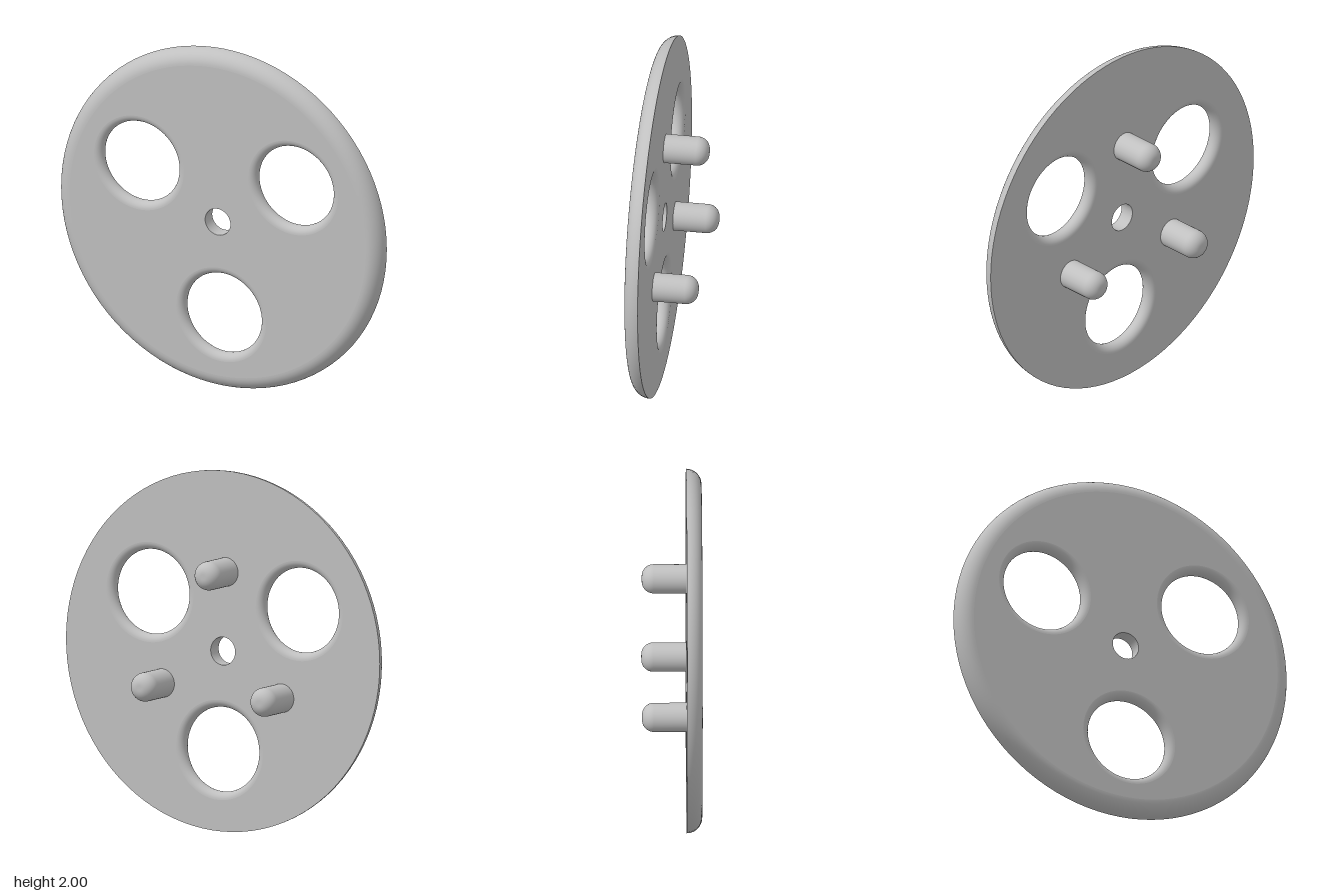
import * as THREE from 'three';

const BACK = 0.08, FRONT = 0.165, THICK = FRONT - BACK;
const HOLE = 0.235, HOLE_DIST = 0.55, PEG_DIST = 0.44, BORE = 0.078;
const START = THREE.MathUtils.degToRad(32.2);

export function createModel() {
  const group = new THREE.Group();
  const grey = new THREE.MeshStandardMaterial({ color: 0xc0c0c0 });
  grey.name = 'light grey';

  const add = (name, geometry, x = 0, y = 0) => {
    const mesh = new THREE.Mesh(geometry, grey);
    mesh.name = name;
    mesh.position.set(x, y + 1, 0);
    group.add(mesh);
  };
  // Points along a circular arc of a profile
  const arc = (cx, cy, r, a0, a1, n = 12) => Array.from({ length: n + 1 }, (_, i) => {
    const a = a0 + (a1 - a0) * i / n;
    return new THREE.Vector2(cx + r * Math.cos(a), cy + r * Math.sin(a));
  });
  // Profile (radius, z) turned around the z axis
  const turn = (points, segments) => new THREE.LatheGeometry(points, segments).rotateX(Math.PI / 2);
  const polar = (r, a) => [r * Math.cos(a), r * Math.sin(a)];
  const angles = [0, 1, 2].map(i => START + i * Math.PI * 2 / 3);

  // Flat disc face with three large holes and the centre bore
  const round = THICK / 2;
  const face = radius => {
    const shape = new THREE.Shape().absarc(0, 0, radius, 0, Math.PI * 2);
    const cut = (x, y, r) => shape.holes.push(new THREE.Path().absarc(x, y, r, 0, Math.PI * 2, true));
    angles.forEach(a => cut(...polar(HOLE_DIST, a), HOLE + round));
    cut(0, 0, BORE);
    return new THREE.ShapeGeometry(shape, 48);
  };
  add('frontFace', face(1 - THICK).translate(0, 0, FRONT));
  // Mirror the back face so that its holes line up with the front
  const back = face(1).scale(1, 1, -1).translate(0, 0, BACK);
  const index = back.index.array;
  for (let i = 0; i < index.length; i += 3) [index[i], index[i + 1]] = [index[i + 1], index[i]];
  back.computeVertexNormals();
  add('backFace', back);

  // Rounded outer rim and straight centre bore
  add('rim', turn(arc(1 - THICK, BACK, THICK, 0, Math.PI / 2), 96));
  add('centreBore', turn([new THREE.Vector2(BORE, FRONT), new THREE.Vector2(BORE, BACK)], 96));

  // Bullnosed hole walls, with a round-tipped peg opposite each hole
  const wall = turn(arc(HOLE + round, BACK + round, round, Math.PI / 2, Math.PI * 1.5, 16), 96);
  const peg = turn([
    new THREE.Vector2(0, -0.165),
    ...arc(0.015, -0.1, 0.065, -Math.PI / 2, 0),
    new THREE.Vector2(0.08, BACK),
  ], 48);
  angles.forEach((a, i) => {
    add('holeWall' + (i + 1), wall, ...polar(HOLE_DIST, a));
    add('peg' + (i + 1), peg, ...polar(PEG_DIST, a + Math.PI / 3));
  });
  return group;
}
